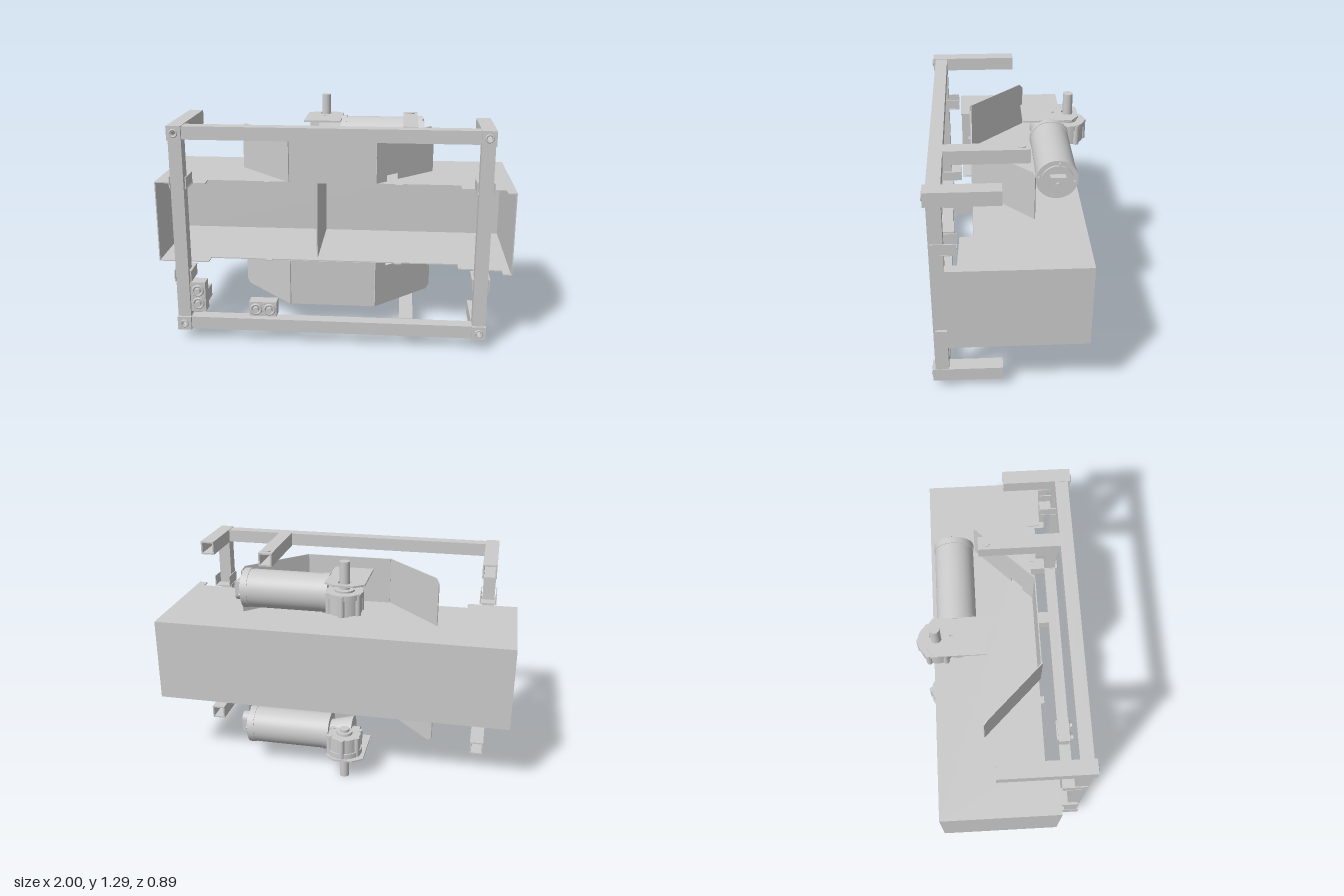
import * as THREE from 'three';

const MID = 0.6475; // height of the mirror plane between upper and lower halves
const mat = new THREE.MeshStandardMaterial({ color: 0xcccccc, side: THREE.DoubleSide });

function add(parent, name, geo, x = 0, y = 0, z = 0) {
  const m = new THREE.Mesh(geo, mat);
  m.name = name;
  m.position.set(x, y, z);
  parent.add(m);
  return m;
}
const box = (p, name, w, h, d, x, y, z) => add(p, name, new THREE.BoxGeometry(w, h, d), x, y, z);

// cylinder along the given axis
function cyl(p, name, r, len, axis, x, y, z, r2 = r, seg = 32) {
  const g = new THREE.CylinderGeometry(r, r2, len, seg);
  if (axis === 'x') g.rotateZ(-Math.PI / 2);
  if (axis === 'z') g.rotateX(Math.PI / 2);
  return add(p, name, g, x, y, z);
}

const extrude = (shape, depth) =>
  new THREE.ExtrudeGeometry(shape, { depth, bevelEnabled: false, curveSegments: 16 });
const polygon = pts => new THREE.Shape(pts.map(p => new THREE.Vector2(p[0], p[1])));

// hollow square tube, centred, running along an axis
function tube(p, name, size, len, axis, x, y, z) {
  const a = size / 2, b = a - 0.009;
  const s = polygon([[-a, -a], [a, -a], [a, a], [-a, a]]);
  s.holes.push(new THREE.Path([[-b, -b], [-b, b], [b, b], [b, -b]].map(q => new THREE.Vector2(...q))));
  const g = extrude(s, len).translate(0, 0, -len / 2);
  if (axis === 'x') g.rotateY(Math.PI / 2);
  if (axis === 'y') g.rotateX(Math.PI / 2);
  return add(p, name, g, x, y, z);
}

// horizontal plate from an outline in x and z
function plate(p, name, shape, thick, y) {
  return add(p, name, extrude(shape, thick).rotateX(Math.PI / 2), 0, y, 0);
}

// upright guide panel between two ground points
function panel(p, name, shape, from, to) {
  const m = add(p, name, extrude(shape, 0.006), from[0], 0.235, from[1]);
  m.rotation.y = -Math.atan2(to[1] - from[1], to[0] - from[0]);
}

function buildMotor(p) {
  const y = 0.4275, z = -0.235, sx = -0.085, sz = -0.345;
  const motor = new THREE.Group();
  motor.name = 'motor';
  p.add(motor);
  cyl(motor, 'motorBody', 0.106, 0.43, 'x', 0.25, y, z, 0.106, 48);
  for (const x of [0.033, 0.48]) cyl(motor, 'motorEndRing', 0.11, 0.035, 'x', x, y, z, 0.11, 48);
  cyl(motor, 'motorEndCap', 0.085, 0.014, 'x', 0.503, y, z);
  // rounded terminal block and bolts on the end of the motor
  const cap = new THREE.Shape();
  cap.moveTo(-0.04, 0.045);
  cap.lineTo(-0.04, -0.025);
  cap.absarc(0, -0.025, 0.04, Math.PI, Math.PI * 2, false);
  cap.lineTo(0.04, 0.045);
  add(motor, 'terminalBlock', extrude(cap, 0.04).rotateY(Math.PI / 2), 0.508, y - 0.005, z);
  cyl(motor, 'terminalScrew', 0.014, 0.012, 'x', 0.553, y, z);
  for (let i = 0; i < 4; i++) {
    const a = i * Math.PI / 2 + 0.15;
    cyl(motor, 'endBolt', 0.009, 0.012, 'x', 0.502, y + Math.sin(a) * 0.094, z + Math.cos(a) * 0.094, 0.009, 10);
  }
  // worm housing and gearbox around the output shaft
  cyl(motor, 'wormHousing', 0.065, 0.14, 'x', -0.045, y, z, 0.1);
  cyl(motor, 'wormBearing', 0.04, 0.05, 'x', -0.13, y, z);
  cyl(motor, 'gearbox', 0.092, 0.11, 'y', sx, y, sz, 0.092, 40);
  cyl(motor, 'gearboxRim', 0.1, 0.03, 'y', sx, y + 0.045, sz, 0.1, 40);
  cyl(motor, 'gearboxHub', 0.055, 0.14, 'y', sx, y, sz, 0.045);
  for (let i = 0; i < 6; i++) {
    const a = i * Math.PI / 3 + Math.PI / 6;
    cyl(motor, 'gearboxLug', 0.017, 0.115, 'y', sx + Math.cos(a) * 0.09, y, sz + Math.sin(a) * 0.09, 0.017, 12);
  }
  cyl(motor, 'outputShaft', 0.027, 0.305, 'y', sx, 0.495, sz);
  // mounting plate with a shaft hole
  const s = polygon([[-0.195, -0.085], [0.02, -0.085], [0.02, -0.36], [-0.03, -0.4], [-0.14, -0.4], [-0.195, -0.36]]);
  s.holes.push(new THREE.Path().absarc(sx, sz, 0.035, 0, Math.PI * 2, true));
  s.holes.push(new THREE.Path().absarc(sx, -0.265, 0.009, 0, Math.PI * 2, true));
  plate(motor, 'motorPlate', s, 0.01, 0.531);
}

// upper half; the lower one is its mirror image
function buildHalf() {
  const h = new THREE.Group();

  // housing cover with stepped front edge
  plate(h, 'housingCover', polygon([
    [-1, -0.375], [1, -0.375], [1, 0.34], [0.95, 0.34], [0.95, 0.28], [0.71, 0.27], [0.71, 0.2], [0.39, 0.2],
    [0.39, 0.22], [0.35, 0.22], [0.35, 0.2], [-0.35, 0.2], [-0.35, 0.22], [-0.39, 0.22], [-0.39, 0.2],
    [-0.71, 0.2], [-0.71, 0.27], [-1, 0.27]]), 0.006, 0.235);

  // three-sided guide: front panel and two swept wings
  const L = Math.hypot(0.32, 0.32), H = 0.27, r = 0.025;
  const flat = polygon([[0, 0], [0.49, 0], [0.49, H], [0, H]]);
  panel(h, 'guideFront', flat, [-0.25, 0.197], [0.24, 0.197]);
  panel(h, 'guideWingRight', polygon([[0, 0], [L, 0], [L, H], [r, H], [0, H - r]]), [-0.56, -0.12], [-0.25, 0.2]);
  panel(h, 'guideWingLeft', polygon([
    [0, 0], [0.08, 0], [0.08, 0.035], [0.165, 0.035], [0.165, 0], [L, 0], [L, H - r], [L - r, H], [0, H]]),
    [0.24, 0.2], [0.56, -0.12]);

  // frame rail and the arms reaching back
  const y = 0.5475, s = 0.078;
  tube(h, 'rail', s - 0.006, 1.58, 'x', 0, y, 0.383);
  for (const [x, back] of [[-0.826, -0.07], [0.424, -0.1], [0.826, 0.06]]) {
    const front = x === 0.424 ? 0.35 : 0.42;
    tube(h, 'arm', s, front - back, 'z', x, y, (front + back) / 2);
  }
  cyl(h, 'armBolt', 0.022, 0.008, 'y', 0.424, y + 0.04, -0.055);

  for (const x of [-0.826, 0.826]) {
    // corner gusset with bolt hole
    const g = polygon([[-0.039, -0.039], [0.039, -0.039], [0.039, 0.039], [-0.039, 0.039]]);
    g.holes.push(new THREE.Path().absarc(0, 0, 0.012, 0, Math.PI * 2, true));
    add(h, 'cornerPlate', extrude(g, 0.014), x, y, 0.42);
    const ring = new THREE.TorusGeometry(0.019, 0.005, 8, 24);
    add(h, 'cornerBolt', ring, x, y, 0.436);
    // angle bracket tying the post to the housing
    const d = Math.sign(x);
    box(h, 'bracketUpright', 0.006, 0.065, 0.13, x - d * 0.045, 0.27, 0.345);
    box(h, 'bracketUpright', 0.006, 0.065, 0.13, x + d * 0.045, 0.27, 0.345);
    box(h, 'bracketFoot', 0.1, 0.006, 0.12, x, 0.24, 0.34);
  }
  buildMotor(h);
  return h;
}

// control block with two round sockets
function controls(p, name, w, hgt, x, y, vertical) {
  const g = new THREE.Group();
  g.name = name;
  g.position.set(x, y, 0);
  p.add(g);
  box(g, 'controlBox', w, hgt, 0.07, 0, 0, 0.375);
  box(g, 'controlBack', w * 0.8, hgt * 0.8, 0.03, 0, 0, 0.345);
  for (const k of [-0.038, 0.038]) {
    const cx = vertical ? 0 : k, cy = vertical ? k : 0;
    add(g, 'socketRing', new THREE.TorusGeometry(0.028, 0.007, 8, 28), cx, cy, 0.413);
    cyl(g, 'socketKnob', 0.017, 0.03, 'z', cx, cy, 0.42, 0.017, 20);
    for (const sx of [-1, 1]) for (const sy of [-1, 1])
      cyl(g, 'socketScrew', 0.005, 0.008, 'z', cx + sx * 0.03, cy + sy * 0.03, 0.412, 0.005, 8);
  }
}

export function createModel() {
  const model = new THREE.Group();
  model.name = 'framedHousing';

  const upper = buildHalf();
  upper.name = 'upperHalf';
  upper.position.y = MID;
  const lower = buildHalf();
  lower.name = 'lowerHalf';
  lower.position.y = MID;
  lower.scale.y = -1;
  model.add(upper, lower);

  // housing walls, open at the front
  box(model, 'housingBack', 2, 0.47, 0.006, 0, MID, -0.372);
  box(model, 'housingLeftWall', 0.006, 0.47, 0.715, 0.997, MID, -0.0175);
  box(model, 'housingRightWall', 0.006, 0.47, 0.645, -0.997, MID, -0.0525);
  box(model, 'housingDivider', 0.006, 0.46, 0.535, -0.095, MID, -0.1075);

  // frame posts
  for (const x of [-0.826, 0.826]) tube(model, 'post', 0.072, 1.02, 'y', x, MID, 0.383);

  controls(model, 'sideControls', 0.085, 0.175, -0.745, 0.255, true);
  controls(model, 'railControls', 0.155, 0.085, -0.378, 0.193, false);
  return model;
}
